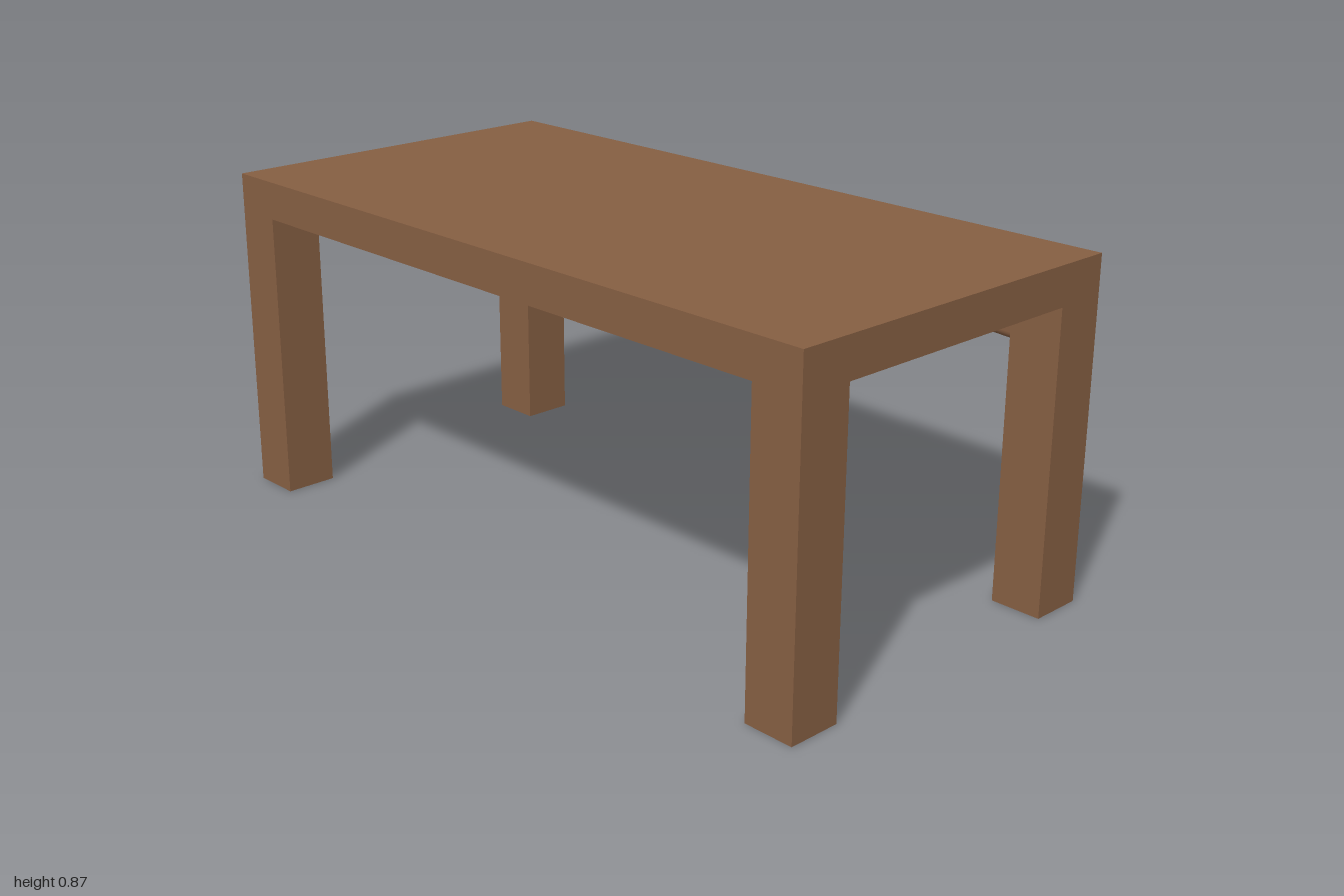
import * as THREE from 'three';

const HEIGHT = 0.87, UNDERSIDE = 0.77, LEG_X = 0.14, LEG_Z = 0.135;

// Wavy apron: a rounded-bottom section swept along z, its lower edge following a curve
function apronGeometry(outerX, thickness) {
  const end = 1 - LEG_Z, r = thickness / 2;
  const edge = new THREE.SplineCurve([
    [end, 0.63], [0.75, 0.637], [0.6, 0.65], [0.5, 0.662], [0.38, 0.669], [0.28, 0.664],
    [0.2, 0.65], [0.11, 0.632], [0, 0.626], [-0.1, 0.63], [-0.2, 0.644], [-0.35, 0.657],
    [-0.48, 0.665], [-0.6, 0.658], [-0.7, 0.644], [-0.78, 0.635], [-end, 0.631],
  ].map(([z, y]) => new THREE.Vector2(z, y))).getPoints(96);
  const arcSteps = 10, positions = [], index = [];
  for (const { x: z, y: bottom } of edge) {
    positions.push(outerX, UNDERSIDE, z);
    for (let k = 0; k <= arcSteps; k++) {
      const a = (Math.PI * k) / arcSteps;
      positions.push(outerX - r + r * Math.cos(a), bottom + r - r * Math.sin(a), z);
    }
    positions.push(outerX - thickness, UNDERSIDE, z);
  }
  const n = arcSteps + 3;
  for (let i = 0; i < edge.length - 1; i++) {
    for (let j = 0; j < n - 1; j++) {
      const a = i * n + j, b = a + n;
      index.push(a, a + 1, b, a + 1, b + 1, b);
    }
  }
  const geometry = new THREE.BufferGeometry();
  geometry.setAttribute('position', new THREE.Float32BufferAttribute(positions, 3));
  geometry.setIndex(index);
  geometry.computeVertexNormals();
  return geometry;
}

export function createModel() {
  const wood = new THREE.MeshStandardMaterial({ color: 0x855e42 });
  wood.name = 'brown wood';
  const table = new THREE.Group();
  table.name = 'table';
  const add = (name, geometry, x = 0, y = 0, z = 0) => {
    const mesh = new THREE.Mesh(geometry, wood);
    mesh.name = name;
    mesh.position.set(x, y, z);
    table.add(mesh);
  };

  // Thick slab top
  const slab = HEIGHT - UNDERSIDE;
  add('tableTop', new THREE.BoxGeometry(1, slab, 2), 0, UNDERSIDE + slab / 2, 0);

  // Square-cut legs flush with the corners
  const leg = new THREE.BoxGeometry(LEG_X, UNDERSIDE, LEG_Z);
  for (const [sx, side] of [[1, 'Left'], [-1, 'Right']]) {
    for (const [sz, end] of [[1, 'front'], [-1, 'back']]) {
      add(`${end}${side}Leg`, leg, sx * (0.5 - LEG_X / 2), UNDERSIDE / 2, sz * (1 - LEG_Z / 2));
    }
  }

  // Single carved apron, set back between the legs on one long side
  add('wavyApron', apronGeometry(0.47, 0.04));
  return table;
}
